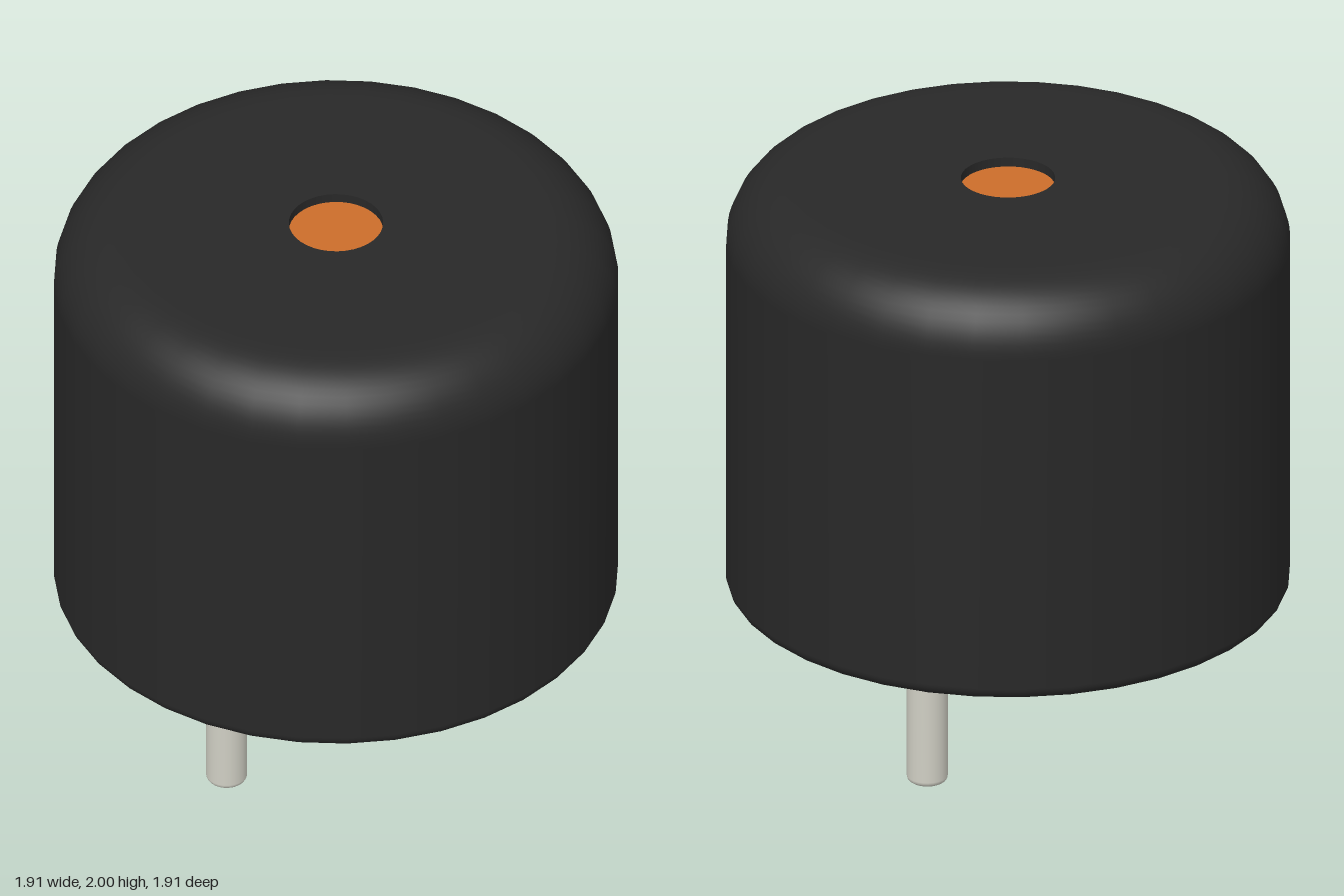
import * as THREE from 'three';

const v = (x, y) => new THREE.Vector2(x, y);

// Quarter-circle fillet points around a centre, from angle a0 to a1
function arc(cx, cy, r, a0, a1, steps) {
  const pts = [];
  for (let i = 0; i <= steps; i++) {
    const a = a0 + (a1 - a0) * i / steps;
    pts.push(v(cx + r * Math.cos(a), cy + r * Math.sin(a)));
  }
  return pts;
}

export function createModel() {
  // The housing is a thin shell open at the bottom, so its inside shows too
  const black = new THREE.MeshStandardMaterial({ color: 0x282828, side: THREE.DoubleSide });
  black.name = 'black plastic';
  const copper = new THREE.MeshStandardMaterial({ color: 0xcc6d2a, side: THREE.DoubleSide });
  copper.name = 'copper';
  const metal = new THREE.MeshStandardMaterial({ color: 0xd0cfc4 });
  metal.name = 'pin metal';

  const group = new THREE.Group();
  const H = Math.PI / 2;
  const R = 0.957, base = 0.487, top = 2, hole = 0.16, floor = 1.967;

  function lathe(name, pts, material, segments = 36) {
    const mesh = new THREE.Mesh(new THREE.LatheGeometry(pts, segments), material);
    mesh.name = name;
    group.add(mesh);
    return mesh;
  }

  // Housing: filleted side wall, flat top ring and hole wall
  const bottomArc = arc(R - 0.045, base + 0.045, 0.045, -H, 0, 6);
  const topArc = arc(R - 0.24, top - 0.24, 0.24, 0, H, 14);
  lathe('housing', [...bottomArc, ...topArc], black);
  lathe('topFace', [v(R - 0.24, top), v(hole, top)], black);
  lathe('holeWall', [v(hole, top), v(hole, floor)], black);

  // Copper disc recessed in the sound hole
  lathe('diaphragm', [v(hole, floor), v(0, floor)], copper);

  // Two pins with rounded tips
  for (const [name, x] of [['leftPin', 0.605], ['rightPin', -0.605]]) {
    const tip = arc(0.05, 0.02, 0.02, -H, 0, 4);
    lathe(name, [...tip, v(0.07, base)], metal, 24).position.x = x;
    lathe(name + 'End', [v(0, 0), tip[0]], metal, 24).position.x = x;
    lathe(name + 'Top', [v(0.07, base), v(0, base)], metal, 24).position.x = x;
  }

  return group;
}
